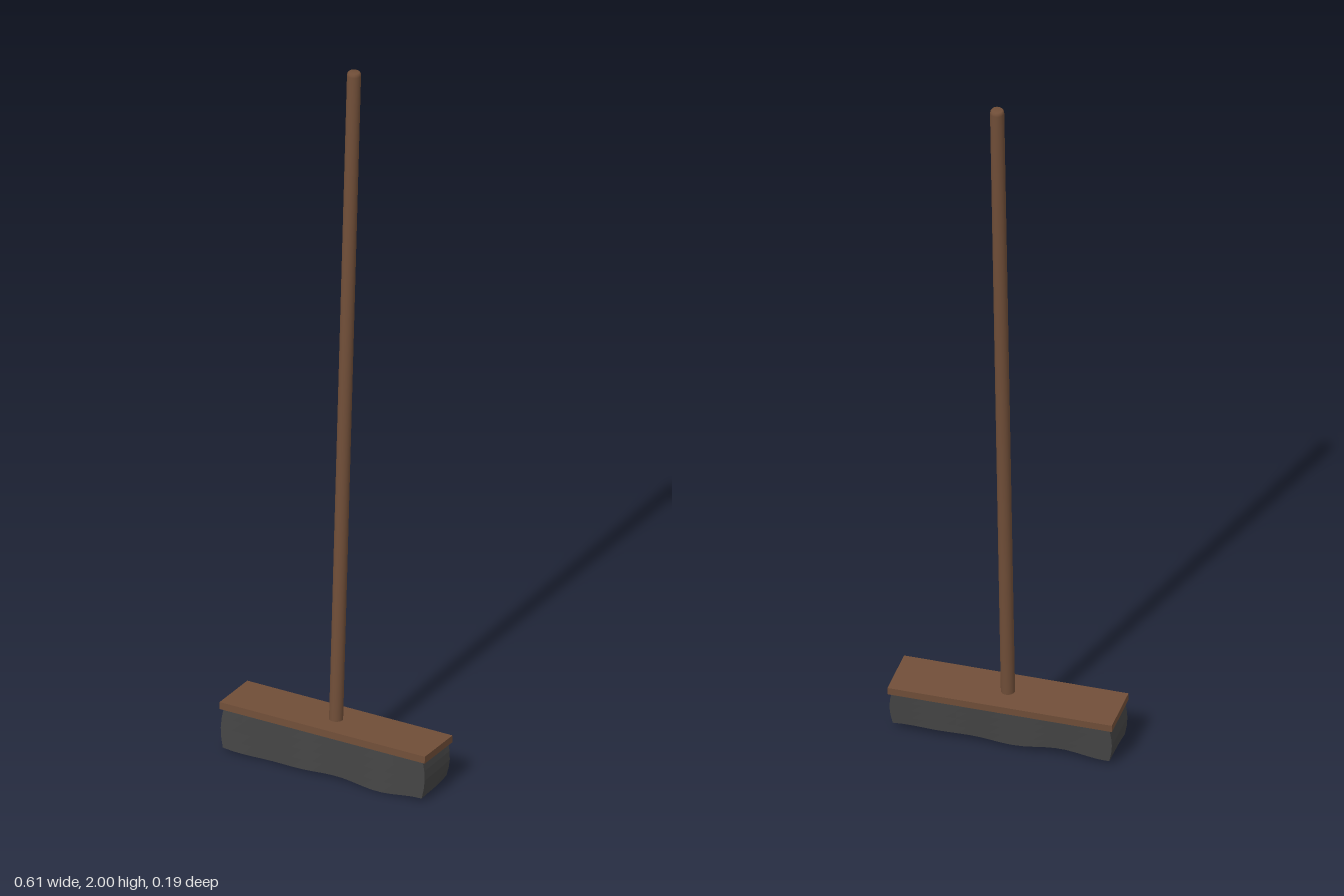
import * as THREE from 'three';

export function createModel() {
  const wood = new THREE.MeshStandardMaterial({ color: 0x704e38 });
  wood.name = 'brown wood';
  const bristle = new THREE.MeshStandardMaterial({ color: 0x444444 });
  bristle.name = 'dark bristle';

  const model = new THREE.Group();
  model.name = 'pushBroom';

  // The whole broom leans back slightly about the foot of the handle
  const broom = new THREE.Group();
  broom.name = 'leaningBroom';
  broom.position.set(0, 0.13, 0.018);
  broom.rotation.x = -0.0515;
  model.add(broom);

  const add = (name, geometry, material, y = 0) => {
    const mesh = new THREE.Mesh(geometry, material);
    mesh.name = name;
    mesh.position.y = y;
    broom.add(mesh);
  };

  // Long round handle, with a softened end
  const r = 0.0185, length = 1.871;
  const profile = [
    [0, -0.01], [r, -0.01], [r, length - 0.01], [r * 0.95, length - 0.004],
    [r * 0.78, length], [0, length],
  ].map(([x, y]) => new THREE.Vector2(x, y));
  add('handle', new THREE.LatheGeometry(profile, 20), wood);

  // Flat board holding the bristles
  add('board', new THREE.BoxGeometry(0.608, 0.02, 0.148), wood, -0.007);

  // Bristle block: wavy lower edge, sloping up to the back, bulging sides
  const tuft = new THREE.BoxGeometry(0.59, 1, 0.136, 20, 4, 4);
  const p = tuft.attributes.position;
  for (let i = 0; i < p.count; i++) {
    const x = p.getX(i), z = p.getZ(i);
    const t = 0.5 - p.getY(i); // 0 at the board, 1 at the tips
    const wave = Math.cos((x + 0.05) * Math.PI * 2 / 0.22);
    const bottom = -0.12 - z * 0.13 + 0.004 * Math.sin(x * 19 + z * 25) - 0.002 * wave;
    p.setY(i, THREE.MathUtils.lerp(-0.016, bottom, t));
    p.setX(i, x * (1 + 0.025 * Math.sin(t * Math.PI) - 0.005 * t));
    p.setZ(i, z * (1 + 0.03 * t * wave));
  }
  const flat = tuft.toNonIndexed();
  flat.computeVertexNormals();
  add('bristles', flat, bristle);

  return model;
}
